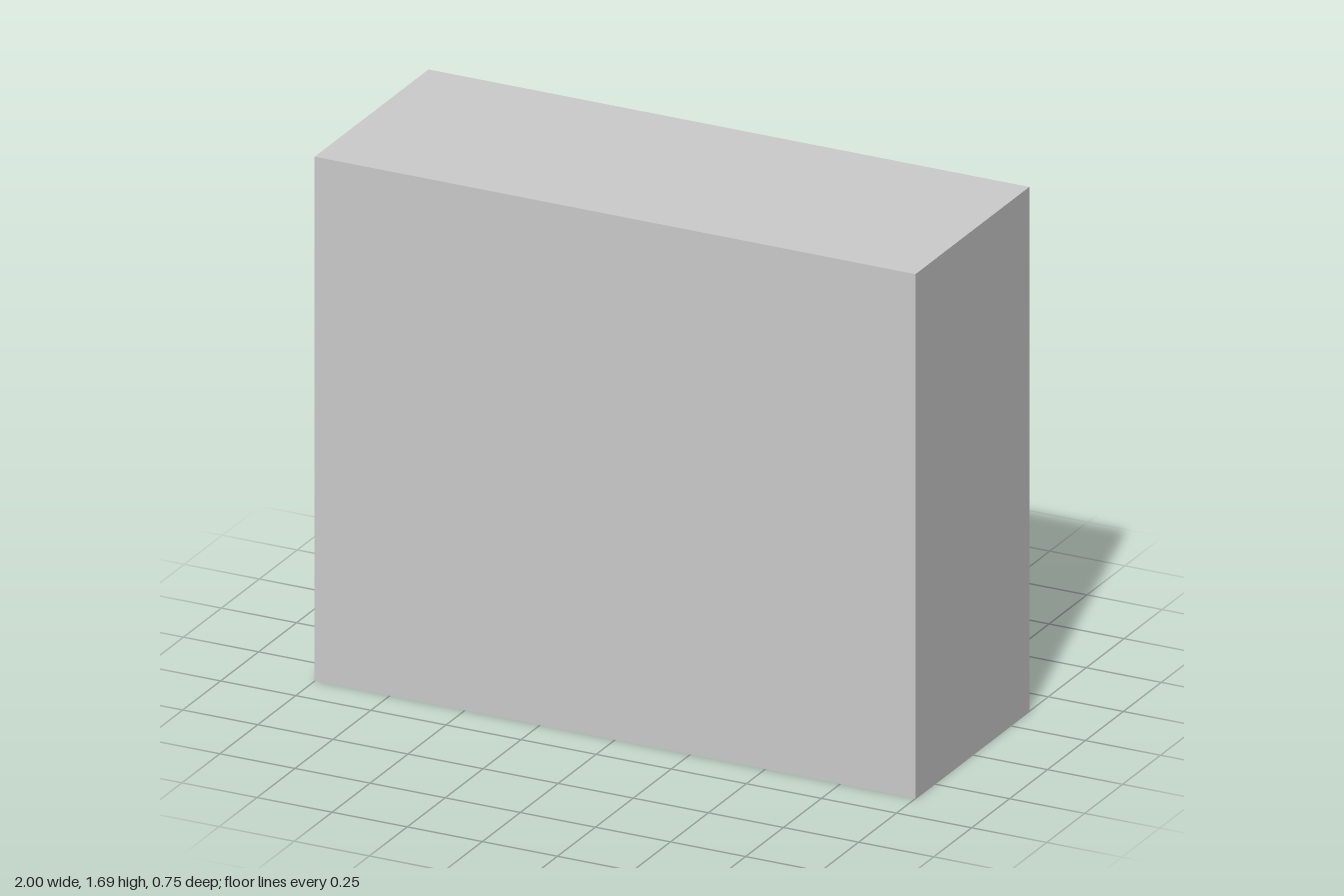
import * as THREE from 'three';

// Block extents and recess limits
const W = 1, H = 1.69, D = 0.375;
const recessX = -0.45, floorZ = -0.264;
const lipLow = 0.07, floorLow = 0.177, floorHigh = 1.37, lipHigh = 1.48;

// Flat-shaded geometry from four-cornered faces, corners anticlockwise from outside
function quads(list) {
  const pos = [];
  for (const q of list) for (const i of [0, 1, 2, 0, 2, 3]) pos.push(...q[i]);
  const g = new THREE.BufferGeometry();
  g.setAttribute('position', new THREE.Float32BufferAttribute(pos, 3));
  g.computeVertexNormals();
  return g;
}

// Face looking towards -z
const backFace = (x1, x2, y1, y2, z) => [[x2, y1, z], [x1, y1, z], [x1, y2, z], [x2, y2, z]];
// Face looking towards -x, from [z, y] corners
const sideFace = (x, ...zy) => zy.map(([z, y]) => [x, y, z]);

export function createModel() {
  const group = new THREE.Group();
  const grey = new THREE.MeshStandardMaterial({ color: 0xcccccc });
  grey.name = 'light grey';

  const add = (name, faces) => {
    const mesh = new THREE.Mesh(quads(faces), grey);
    mesh.name = name;
    group.add(mesh);
  };

  // Outer shell
  add('block', [
    [[-W, 0, D], [W, 0, D], [W, H, D], [-W, H, D]],
    [[W, 0, D], [W, 0, -D], [W, H, -D], [W, H, D]],
    [[-W, H, D], [W, H, D], [W, H, -D], [-W, H, -D]],
    [[-W, 0, -D], [W, 0, -D], [W, 0, D], [-W, 0, D]],
    // back, around the recess
    backFace(recessX, W, 0, H, -D),
    backFace(-W, recessX, 0, lipLow, -D),
    backFace(-W, recessX, lipHigh, H, -D),
    // notched side
    sideFace(-W, [floorZ, 0], [D, 0], [D, H], [floorZ, H]),
    sideFace(-W, [-D, 0], [floorZ, 0], [floorZ, floorLow], [-D, lipLow]),
    sideFace(-W, [-D, lipHigh], [floorZ, floorHigh], [floorZ, H], [-D, H]),
  ]);

  // Recess with sloping top and bottom, open at the side
  add('recess', [
    backFace(-W, recessX, floorLow, floorHigh, floorZ),
    sideFace(recessX, [-D, lipLow], [floorZ, floorLow], [floorZ, floorHigh], [-D, lipHigh]),
    [[recessX, lipLow, -D], [-W, lipLow, -D], [-W, floorLow, floorZ], [recessX, floorLow, floorZ]],
    [[recessX, floorHigh, floorZ], [-W, floorHigh, floorZ], [-W, lipHigh, -D], [recessX, lipHigh, -D]],
  ]);

  return group;
}
